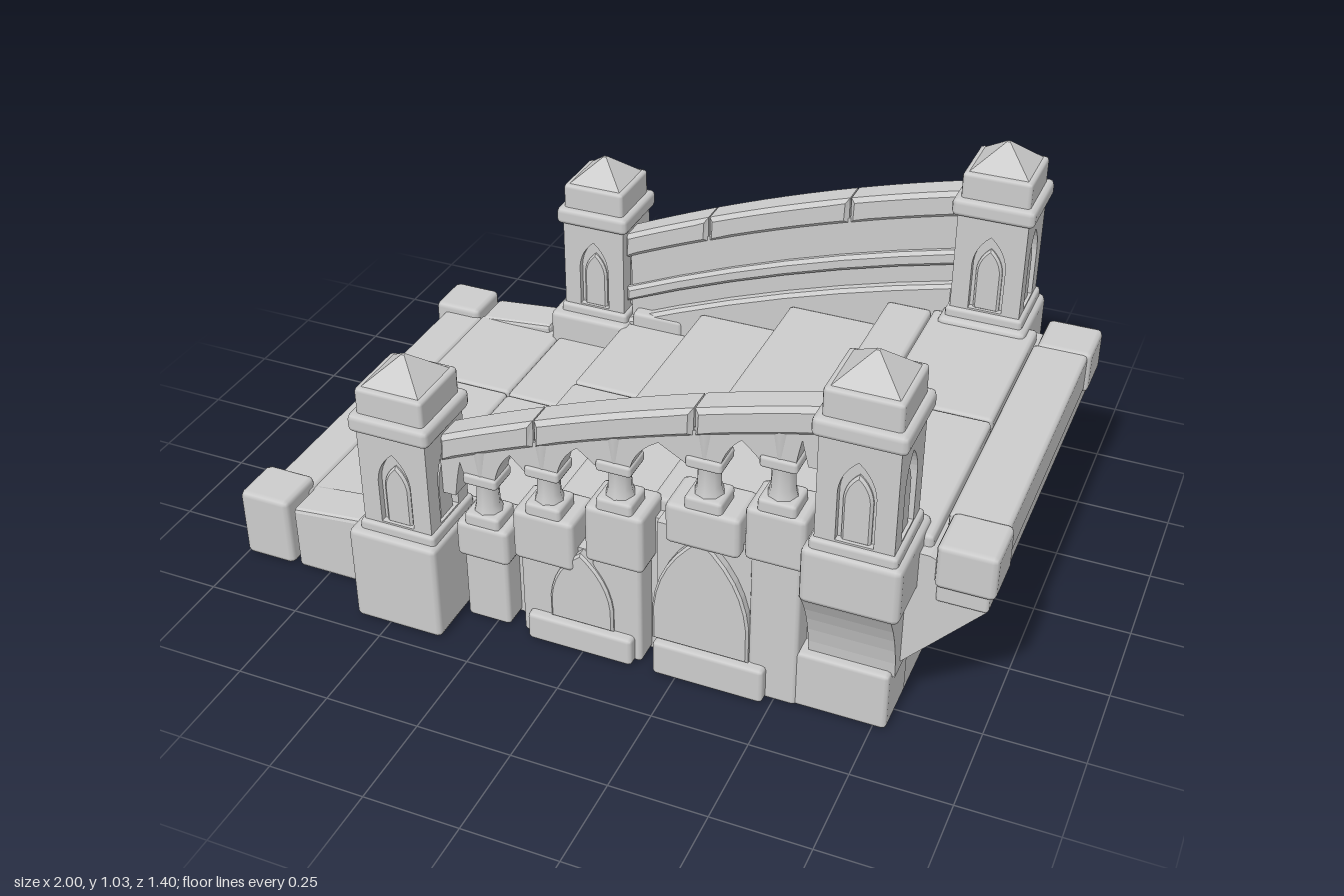
import * as THREE from 'three';
import { RoundedBoxGeometry } from 'three/addons/geometries/RoundedBoxGeometry.js';

const stone = new THREE.MeshStandardMaterial({ color: 0xcccccc });
stone.name = 'grey stone';

// Height of the handrail top along the stairs
const railY = (x) => 0.7 + 0.37 * x - 0.11 * x * x;

function add(parent, name, geometry) {
  const mesh = new THREE.Mesh(geometry, stone);
  mesh.name = name;
  parent.add(mesh);
  return mesh;
}

// Worn stone block given by its limits
function block(parent, name, x0, x1, y0, y1, z0, z1, r = 0.011) {
  const g = new RoundedBoxGeometry(x1 - x0, y1 - y0, z1 - z0, 1, r);
  g.translate((x0 + x1) / 2, (y0 + y1) / 2, (z0 + z1) / 2);
  return add(parent, name, g);
}

// Flat outline in x and y, given thickness between z0 and z1
function plate(parent, name, shape, z0, z1, bevel = 0) {
  const g = new THREE.ExtrudeGeometry(shape, {
    depth: z1 - z0 - 2 * bevel, bevelEnabled: bevel > 0, bevelThickness: bevel,
    bevelSize: bevel, bevelOffset: -bevel, bevelSegments: 1, curveSegments: 6,
  });
  g.translate(0, 0, z0 + bevel);
  return add(parent, name, g);
}

const outline = (pts) => new THREE.Shape(pts.map((p) => new THREE.Vector2(p[0], p[1])));

// Pointed arch outline
function arch(Type, cx, w, y0, y1) {
  const h = w / 2, ys = y1 - Math.min(w * 0.95, (y1 - y0) * 0.7);
  const p = new Type();
  p.moveTo(cx - h, y0);
  p.lineTo(cx + h, y0);
  p.lineTo(cx + h, ys);
  p.quadraticCurveTo(cx + h * 0.9, ys + (y1 - ys) * 0.6, cx, y1);
  p.quadraticCurveTo(cx - h * 0.9, ys + (y1 - ys) * 0.6, cx - h, ys);
  p.closePath();
  return p;
}

// Raised moulding that follows a pointed arch
function archRing(parent, cx, w, y0, y1, t, z0, z1) {
  const s = arch(THREE.Shape, cx, w, y0, y1);
  s.holes.push(arch(THREE.Path, cx, w - 2 * t, y0 + t * 0.5, y1 - t * 1.7));
  plate(parent, 'archMoulding', s, z0, z1, 0.006);
}

// Sloping band that follows the handrail
function band(parent, name, x0, x1, top, bottom, z0, z1, bevel) {
  const up = [], down = [], n = 6;
  for (let i = 0; i <= n; i++) {
    const x = x0 + ((x1 - x0) * i) / n;
    up.unshift([x, railY(x) - top]);
    down.push([x, railY(x) - bottom]);
  }
  plate(parent, name, outline([...down, ...up]), z0, z1, bevel);
}

// Post shaft with four niches, a collar and a pointed cap
function post(parent, x, z, y, height) {
  const g = new THREE.Group();
  g.name = 'post';
  g.position.set(x, y, z);
  parent.add(g);
  const s = height - 0.18;
  block(g, 'shaftCore', -0.076, 0.076, 0, s, -0.076, 0.076, 0.004);
  for (let i = 0; i < 4; i++) {
    const face = new THREE.Group();
    face.name = 'nicheFace';
    face.rotation.y = (i * Math.PI) / 2;
    g.add(face);
    const f = outline([[-0.094, 0], [0.094, 0], [0.094, s], [-0.094, s]]);
    f.holes.push(arch(THREE.Path, 0, 0.09, 0.035, s - 0.055));
    plate(face, 'nicheFrame', f, 0.07, 0.094);
    archRing(face, 0, 0.07, 0.03, s - 0.095, 0.014, 0.07, 0.086);
  }
  block(g, 'foot', -0.105, 0.105, -0.01, 0.03, -0.105, 0.105, 0.01);
  block(g, 'collar', -0.11, 0.11, s - 0.005, s + 0.045, -0.11, 0.11, 0.014);
  block(g, 'capBlock', -0.092, 0.092, s + 0.03, s + 0.115, -0.092, 0.092, 0.01);
  const point = new THREE.CylinderGeometry(0.006, 0.126, 0.075, 4).toNonIndexed();
  point.rotateY(Math.PI / 4);
  point.translate(0, height - 0.0375, 0);
  point.computeVertexNormals();
  add(g, 'capPoint', point);
}

export function createModel() {
  const model = new THREE.Group();
  model.name = 'stoneStairs';

  // Solid core with the sloped underside at the high end
  plate(model, 'core', outline([
    [-0.95, 0], [0.78, 0], [0.78, 0.16], [0.98, 0.38], [0.98, 0.44], [0.84, 0.5], [0.43, 0.5],
    [0.43, 0.41], [0.15, 0.41], [0.15, 0.32], [-0.12, 0.32], [-0.12, 0.24], [-0.36, 0.24],
    [-0.36, 0.15], [-0.95, 0.15],
  ]), -0.52, 0.52);

  // Paving slabs and treads: x0, x1, bottom, top, joint in z
  const slabs = [
    [-0.97, -0.85, 0, 0.175, null], [-0.845, -0.577, 0.08, 0.185, -0.13], [-0.573, -0.373, 0.08, 0.19, -0.115],
    [-0.37, -0.133, 0.15, 0.27, -0.135], [-0.13, 0.137, 0.2, 0.355, null], [0.14, 0.417, 0.3, 0.445, null],
    [0.42, 0.545, 0.38, 0.525, -0.02], [0.55, 0.837, 0.38, 0.53, -0.02],
  ];
  for (const [x0, x1, y0, y1, joint] of slabs) {
    const cuts = joint === null ? [-0.49, 0.49] : [-0.49, joint, 0.49];
    for (let i = 0; i + 1 < cuts.length; i++)
      block(model, 'slab', x0, x1, y0, y1, cuts[i] + 0.002, cuts[i + 1] - 0.002);
  }
  block(model, 'topEdge', 0.845, 0.99, 0.43, 0.54, -0.4, 0.4);
  block(model, 'topEdgeUnderside', 0.86, 0.985, 0.38, 0.44, -0.525, 0.525, 0.008);

  for (const side of [-1, 1]) {
    const name = side > 0 ? 'front' : 'back';
    // Block whose depth is measured outward from the centre
    const b = (part, x0, x1, y0, y1, a, c, r) =>
      block(model, name + part, x0, x1, y0, y1, side > 0 ? a : -c, side > 0 ? c : -a, r);

    // Edging stones
    const shift = side > 0 ? 0 : 0.02;
    b('LowCorner', -1, -0.855, 0, 0.2, 0.45 + shift, 0.59 + shift, 0.015);
    const kerb = b('Kerb', -0.84, -0.61, 0, 0.19, 0.465, 0.585);
    const p = kerb.geometry.attributes.position;
    for (let i = 0; i < p.count; i++)
      if (p.getY(i) > 0.1) p.setY(i, p.getY(i) + (p.getX(i) + 0.8) * 0.1);
    kerb.geometry.computeVertexNormals();
    b('HighCorner', 0.855, 1, 0.425, 0.545, 0.39, 0.535, 0.014);

    // Lower post
    b('LowPostBase', -0.595, -0.35, 0, 0.275, 0.445, 0.7, 0.014);
    post(model, -0.465, side * 0.575, 0.27, 0.48);

    // Upper post on a corbel that curves outward
    b('HighPostFoot', 0.51, 0.783, 0, 0.165, 0.42, 0.58);
    const flare = new THREE.Shape();
    flare.moveTo(side * 0.45, 0.15);
    flare.lineTo(side * 0.555, 0.15);
    flare.quadraticCurveTo(side * 0.565, 0.29, side * 0.65, 0.4);
    flare.lineTo(side * 0.45, 0.4);
    plate(model, name + 'Corbel', flare, -0.79, -0.575).geometry.rotateY(-Math.PI / 2);
    b('HighPostBlock', 0.575, 0.815, 0.39, 0.545, 0.42, 0.662, 0.016);
    post(model, 0.695, side * 0.545, 0.54, 0.49);

    // Handrail stones
    const cuts = [-0.38, -0.12, 0.29, 0.62];
    const za = side > 0 ? 0.505 : -0.595, zb = za + 0.09;
    for (let i = 0; i + 1 < cuts.length; i++)
      band(model, name + 'Rail', cuts[i] + 0.002, cuts[i + 1] - 0.002, 0, 0.075, za, zb, 0.012);
  }

  // Front wall: piers carrying balusters: x0, x1, top, bottom of the head stone
  const piers = [[-0.345, -0.2, 0.305, 0.2], [-0.185, -0.02, 0.385, 0.24], [0.01, 0.165, 0.455, 0.29],
    [0.22, 0.41, 0.525, 0.41], [0.42, 0.57, 0.57, 0.42]];
  const centres = [];
  piers.forEach(([x0, x1, top, low], i) => {
    const cx = (x0 + x1) / 2, y = railY(cx);
    centres.push(cx);
    block(model, 'pierHead', x0, x1, low, top, 0.47, 0.6, 0.014);
    if (i !== 3) block(model, 'pier', x0 + 0.012, x1 - 0.012, 0, low + 0.02, 0.5, 0.585);
    block(model, 'balusterFoot', cx - 0.048, cx + 0.048, top - 0.01, top + 0.03, 0.505, 0.595, 0.01);
    const shaft = new THREE.LatheGeometry([
      [0.04, top + 0.02], [0.031, top + 0.05], [0.029, y - 0.18], [0.036, y - 0.15], [0.042, y - 0.06],
    ].map(([r, h]) => new THREE.Vector2(r, h)), 8);
    shaft.translate(cx, 0, 0.55);
    add(model, 'baluster', shaft);
    block(model, 'balusterCapital', cx - 0.046, cx + 0.046, y - 0.17, y - 0.14, 0.507, 0.593, 0.008);
  });

  // Pointed arches between the balusters
  const stops = [-0.38, ...centres, 0.6];
  for (let i = 0; i + 1 < stops.length; i++) {
    const a = stops[i], c = stops[i + 1], m = (a + c) / 2, t = 0.036;
    const s = new THREE.Shape();
    s.moveTo(a, railY(a) - 0.06);
    s.lineTo(a, railY(a) - 0.17);
    s.lineTo(a + t, railY(a) - 0.17);
    s.quadraticCurveTo(a + t * 1.2, railY(m) - 0.13, m, railY(m) - 0.09);
    s.quadraticCurveTo(c - t * 1.2, railY(m) - 0.13, c - t, railY(c) - 0.17);
    s.lineTo(c, railY(c) - 0.17);
    s.lineTo(c, railY(c) - 0.06);
    plate(model, 'balusterArch', s, 0.515, 0.585);
  }

  // Front blind arches and plinths
  for (const [cx, w, top, x0, x1, base] of [[-0.005, 0.14, 0.3, -0.15, 0.135, 0.08], [0.31, 0.22, 0.44, 0.19, 0.48, 0.1]]) {
    block(model, 'frontPlinth', x0, x1, 0, base, 0.5, 0.61);
    const s = outline([[x0, base], [x1, base], [x1, top], [x0, top]]);
    s.holes.push(arch(THREE.Path, cx, w, base + 0.01, top - 0.02));
    plate(model, 'frontArchPanel', s, 0.51, 0.57);
    archRing(model, cx, w + 0.03, base, top, 0.024, 0.55, 0.595);
  }

  // Back wall: solid up to the handrail, with two tall blind arches
  const wall = [[-0.36, 0], [0.6, 0]];
  for (let i = 8; i >= 0; i--) {
    const x = -0.36 + 0.12 * i;
    wall.push([x, railY(x) - 0.06]);
  }
  plate(model, 'backWall', outline(wall), -0.545, -0.515);
  const skin = outline(wall);
  const backArches = [[-0.02, 0.23, 0.075, 0.45], [0.33, 0.28, 0.09, 0.55]];
  for (const [cx, w, y0, y1] of backArches) skin.holes.push(arch(THREE.Path, cx, w, y0, y1));
  plate(model, 'backWallFace', skin, -0.575, -0.54);
  for (const [cx, w, y0, y1] of backArches) {
    archRing(model, cx, w + 0.03, y0 - 0.01, y1 + 0.025, 0.026, -0.595, -0.565);
    archRing(model, cx, w - 0.07, y0, y1 - 0.085, 0.022, -0.565, -0.54);
    block(model, 'backPlinth', cx - w / 2 - 0.02, cx + w / 2 + 0.02, 0, y0, -0.605, -0.53);
  }
  block(model, 'backPier', -0.345, -0.19, 0, 0.31, -0.6, -0.48);
  block(model, 'backPier', 0.12, 0.165, 0, 0.42, -0.595, -0.52);
  // Mouldings under the back handrail, outside and inside
  band(model, 'backOuterMoulding', -0.37, 0.6, 0.11, 0.165, -0.595, -0.56, 0.01);
  band(model, 'backLedge', -0.37, 0.6, 0.17, 0.215, -0.53, -0.495, 0.01);
  band(model, 'backSkirt', -0.37, 0.6, 0.27, 0.42, -0.53, -0.485, 0.01);

  return model;
}
